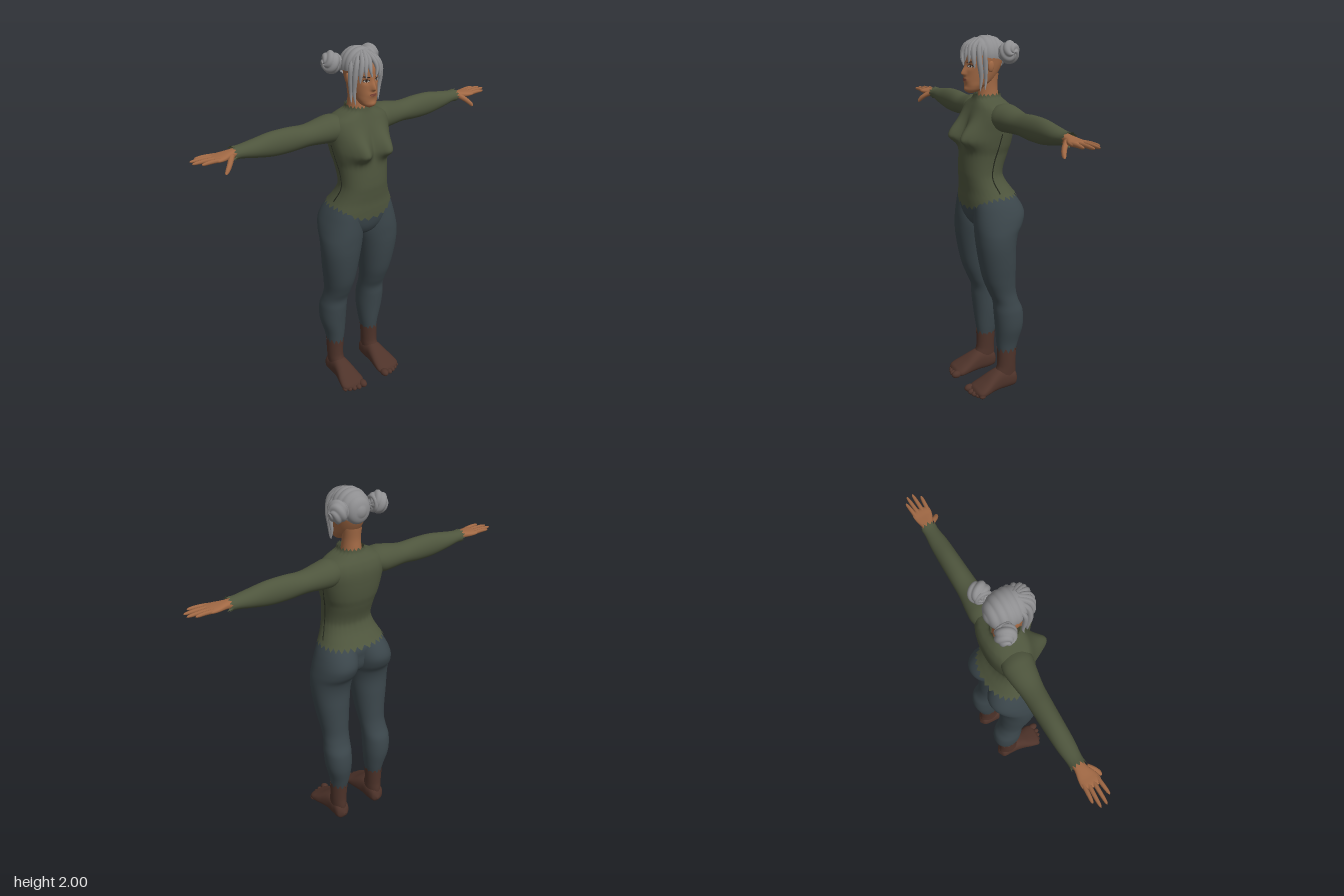
import * as THREE from 'three';

const mat = (name, color, side = THREE.FrontSide) => {
  const m = new THREE.MeshStandardMaterial({ color, side });
  m.name = name;
  return m;
};
const TAU = Math.PI * 2;
const zig = (a, n) => Math.abs(((a / TAU * n) % 1) * 2 - 1);
const gauss = (d, s) => Math.exp(-(d * d) / (s * s));
const spow = (v, n) => Math.sign(v) * Math.pow(Math.abs(v), 2 / n);
const sym = rows => rows.map(([y, w, zb, zf]) => [y, -w, w, zb, zf]);

// Smooth interpolation of profile rows keyed by their first value
function sample(rows, t) {
  let i = 0;
  while (i < rows.length - 2 && t > rows[i + 1][0]) i++;
  const a = rows[i], b = rows[i + 1], p = rows[Math.max(i - 1, 0)], q = rows[Math.min(i + 2, rows.length - 1)];
  const h = b[0] - a[0], s = (t - a[0]) / h, s2 = s * s, s3 = s2 * s;
  return a.slice(1).map((v, k) => {
    const j = k + 1;
    const ma = (b[j] - p[j]) / (b[0] - p[0]) * h, mb = (q[j] - a[j]) / (q[0] - a[0]) * h;
    return (2 * s3 - 3 * s2 + 1) * v + (s3 - 2 * s2 + s) * ma + (3 * s2 - 2 * s3) * b[j] + (s3 - s2) * mb;
  });
}

// Closed-around grid surface from fn(angle, v)
function surface(fn, nu = 48, nv = 48) {
  const pos = [], idx = [];
  for (let i = 0; i <= nv; i++) for (let j = 0; j < nu; j++) pos.push(...fn(j / nu * TAU, i / nv).toArray());
  for (let i = 0; i < nv; i++) for (let j = 0; j < nu; j++) {
    const a = i * nu + j, b = i * nu + (j + 1) % nu;
    idx.push(a, a + nu, b, b, a + nu, b + nu);
  }
  const g = new THREE.BufferGeometry();
  g.setAttribute('position', new THREE.Float32BufferAttribute(pos, 3));
  g.setIndex(idx);
  g.computeVertexNormals();
  return g;
}

// Loft along an axis; rows hold [t, min, max, min, max] of the two cross axes
const ORDER = { x: ['z', 'y'], y: ['x', 'z'], z: ['y', 'x'] };
function loft(axis, rows, { n = 2, lo, hi, nu, nv, bump } = {}) {
  const [A, B] = ORDER[axis], t0 = rows[0][0], t1 = rows[rows.length - 1][0];
  return surface((a, v) => {
    const s = lo ? lo(a) : t0, e = hi ? hi(a) : t1, t = s + (e - s) * v;
    const [a0, a1, b0, b1] = sample(rows, t), p = new THREE.Vector3();
    p[axis] = t;
    p[A] = (a0 + a1) / 2 + (a1 - a0) / 2 * spow(Math.cos(a), n);
    p[B] = (b0 + b1) / 2 + (b1 - b0) / 2 * spow(Math.sin(a), n);
    if (bump) p.z += bump(p.x, p.y) * Math.min(1, Math.max(0, Math.sin(a) * 3));
    return p;
  }, nu, nv);
}

// Tapered tube for strands and fingers
const pointed = s => 0.08 + 0.92 * Math.pow(Math.sin(Math.PI * Math.min(1, 0.2 + 0.8 * s)), 0.7);
const blunt = s => Math.sqrt(1 - Math.pow(s, 8)) * (1 - 0.25 * s);
function strand(points, r, taper = pointed) {
  const curve = new THREE.CatmullRomCurve3(points.map(p => new THREE.Vector3(...p)));
  const g = new THREE.TubeGeometry(curve, 20, r, 8), P = g.attributes.position, v = new THREE.Vector3();
  for (let i = 0; i < P.count; i++) {
    const s = Math.floor(i / 9) / 20, c = curve.getPointAt(s);
    v.fromBufferAttribute(P, i).sub(c).multiplyScalar(taper(s)).add(c);
    P.setXYZ(i, v.x, v.y, v.z);
  }
  return g;
}
function ellipsoid(x, y, z, rx, ry, rz) {
  return new THREE.SphereGeometry(1, 20, 14).scale(rx, ry, rz).translate(x, y, z);
}
function mirrored(geo) {
  const g = geo.clone().scale(-1, 1, 1), ix = g.index.array;
  for (let i = 0; i < ix.length; i += 3) [ix[i], ix[i + 1]] = [ix[i + 1], ix[i]];
  return g;
}

export function createModel() {
  const skin = mat('skin', 0xa06844), hair = mat('grey hair', 0x8e8e90, THREE.DoubleSide);
  const shirt = mat('olive shirt', 0x4e553d, THREE.DoubleSide), trousers = mat('slate trousers', 0x3b464b, THREE.DoubleSide);
  const sock = mat('brown foot', 0x4e332a, THREE.DoubleSide), seam = mat('dark seam', 0x25291e);
  const lip = mat('lips', 0x7d4437), white = mat('eye white', 0xb8b0a8), dark = mat('dark brown', 0x2c211c);
  const model = new THREE.Group();
  const add = (name, geo, m) => {
    const mesh = new THREE.Mesh(geo, m);
    mesh.name = name;
    model.add(mesh);
  };
  const pair = (name, geo, m) => {
    add('left ' + name, geo, m);
    add('right ' + name, mirrored(geo), m);
  };

  // Shirt body with torn hem and collar
  const torso = sym([[1.06, .222, -.165, .115], [1.15, .195, -.17, .12], [1.2, .168, -.135, .121], [1.25, .146, -.1, .126],
    [1.3, .135, -.085, .13], [1.4, .142, -.115, .125], [1.45, .155, -.13, .118], [1.53, .17, -.14, .1], [1.6, .178, -.14, .085],
    [1.645, .16, -.125, .07], [1.67, .11, -.105, .06], [1.685, .072, -.092, .055], [1.715, .062, -.086, .05]]);
  const bust = (x, y) => {
    const dy = y - 1.49;
    return .073 * gauss(Math.abs(x) - .075, .055) * gauss(dy, dy > 0 ? .085 : .045);
  };
  add('shirt body', loft('y', torso, {
    n: 2.3, nu: 120, nv: 80, bump: bust,
    lo: a => 1.185 - .07 * Math.pow(Math.max(0, Math.sin(a)), 3) - .02 * zig(a, 30),
    hi: a => 1.698 + .014 * zig(a, 20)
  }), shirt);
  pair('side seam', strand([1.2, 1.28, 1.36, 1.44, 1.52].map(y => {
    const [, x, b, f] = sample(torso, y);
    return [x, y, (b + f) / 2];
  }), .003, () => 1), seam);

  // Sleeves with torn cuffs
  pair('sleeve', loft('x', [[.08, -.1, .03, 1.56, 1.65], [.15, -.12, .04, 1.53, 1.672], [.2, -.118, .03, 1.53, 1.667],
    [.3, -.105, .012, 1.537, 1.65], [.4, -.102, .005, 1.53, 1.656], [.5, -.1, 0, 1.532, 1.655], [.6, -.097, -.005, 1.55, 1.64],
    [.68, -.09, -.015, 1.566, 1.63], [.72, -.093, -.011, 1.562, 1.635]], { hi: a => .698 + .018 * zig(a, 12) }), shirt);

  // Hands
  pair('palm', loft('x', [[.66, -.08, -.025, 1.575, 1.622], [.72, -.08, -.02, 1.582, 1.618], [.77, -.09, 0, 1.584, 1.613],
    [.81, -.09, .003, 1.589, 1.611], [.825, -.07, -.02, 1.597, 1.603]], { n: 2.5 }), skin);
  [[.885, -.088, -.078], [.918, -.066, -.057], [.92, -.035, -.033], [.888, -.001, -.009]].forEach(([x, z, z0], i) =>
    pair('finger ' + (i + 1), strand([[.79, 1.6, z0], [.84, 1.604, (z + z0) / 2], [x, 1.603, z]], .0115, blunt), skin));
  pair('thumb', strand([[.725, 1.597, -.025], [.752, 1.575, .005], [.772, 1.555, .02], [.788, 1.537, .027]], .015, blunt), skin);

  // Trousers
  pair('trouser leg', loft('y', [[.235, .08, .17, -.133, -.028], [.3, .07, .18, -.15, -.02], [.4, .06, .205, -.17, -.01],
    [.5, .057, .21, -.165, 0], [.56, .055, .203, -.14, .004], [.62, .05, .2, -.125, .03], [.7, .04, .21, -.12, .062],
    [.8, .028, .225, -.117, .085], [.9, .015, .235, -.115, .1], [.97, .003, .235, -.13, .105], [1.02, -.002, .228, -.162, .107],
    [1.08, -.002, .213, -.177, .105], [1.15, 0, .185, -.145, .1], [1.2, 0, .15, -.095, .088], [1.22, .04, .1, -.05, .04]],
    { n: 2.15, nv: 80 }), trousers);
  add('trouser seat', loft('y', sym([[.965, .002, -.03, -.02], [.985, .05, -.08, .05], [1.03, .13, -.115, .092],
    [1.1, .19, -.125, .112], [1.15, .18, -.125, .112], [1.21, .14, -.09, .1]]), { n: 2.2 }), trousers);

  // Feet
  pair('ankle', loft('y', [[.05, .088, .168, -.135, -.01], [.1, .084, .17, -.138, -.008], [.15, .083, .172, -.135, -.023],
    [.27, .076, .175, -.142, -.022]], { hi: a => .238 + .03 * zig(a, 12) }), sock);
  pair('foot', loft('z', [[-.148, .035, .05, .115, .13], [-.13, .008, .1, .09, .165], [-.08, 0, .125, .08, .172],
    [-.03, 0, .13, .078, .175], [.02, 0, .11, .07, .185], [.07, 0, .08, .062, .2], [.11, .002, .058, .06, .204],
    [.132, .01, .045, .075, .185], [.14, .025, .03, .1, .15]], { n: 2.4 }), sock);
  [[.083, .139, .022], [.117, .142, .016], [.145, .135, .015], [.17, .124, .014], [.192, .11, .014]].forEach(([x, z, r], i) =>
    pair('toe ' + (i + 1), ellipsoid(x, r + .004, z, r, r, r * 1.4), sock));

  // Head and neck
  const headRows = sym([[1.713, .008, .07, .085], [1.725, .034, .03, .103], [1.75, .05, 0, .107], [1.78, .059, -.05, .109],
    [1.82, .067, -.08, .107], [1.87, .072, -.1, .106], [1.92, .071, -.1, .098], [1.96, .052, -.065, .065], [1.982, .004, -.01, .0]]);
  const features = (x, y) => .024 * gauss(x, .012) * gauss(y - 1.815, y > 1.815 ? .03 : .011) +
    .006 * gauss(x, .022) * gauss(y - 1.785, .014) + .006 * gauss(x, .02) * gauss(y - 1.735, .014) -
    .009 * gauss(Math.abs(x) - .031, .016) * gauss(y - 1.853, .014);
  add('head', loft('y', headRows, { n: 2.2, nu: 96, nv: 90, bump: features }), skin);
  add('neck', loft('y', sym([[1.65, .06, -.085, .04], [1.7, .05, -.08, .03], [1.75, .047, -.075, .022], [1.81, .05, -.08, .01]])), skin);
  pair('ear', ellipsoid(.074, 1.85, -.002, .009, .028, .017).rotateX(-.1).translate(0, .01, .185), skin);

  // Thin plates following the face
  const plate = (cx, cy, rx, ry, lift, tilt = 0) => {
    const g = new THREE.CircleGeometry(1, 20).scale(rx, ry, 1).rotateZ(tilt).translate(cx, cy, 0), P = g.attributes.position;
    for (let i = 0; i < P.count; i++) {
      const x = P.getX(i), y = P.getY(i), [, w, b, f] = sample(headRows, y);
      const k = Math.pow(Math.max(0, 1 - Math.pow(Math.abs(x / w), 2.2)), 1 / 2.2);
      P.setZ(i, (b + f) / 2 + (f - b) / 2 * k + features(x, y) + lift);
    }
    g.computeVertexNormals();
    return g;
  };
  pair('eyelid line', plate(.031, 1.854, .0155, .0075, .0015), dark);
  pair('eye', plate(.031, 1.853, .0135, .0055, .0025), white);
  pair('iris', plate(.031, 1.853, .005, .005, .0035), dark);
  pair('eyebrow', plate(.033, 1.874, .018, .003, .002, .12), dark);
  add('mouth', plate(0, 1.784, .021, .007, .0015), lip);

  // Swept hair cap with ridges running sideways
  add('hair cap', surface((a, v) => {
    const s = Math.sin(a), c = Math.cos(a);
    const max = s > 0 ? 1.7 - .65 * s * s : 1.7 + .75 * s * s;
    const th = max * (1 - v) + .0001, z = Math.sin(th) * s;
    const r = 1 + .045 * (Math.abs(Math.sin(z * 10)) - .6);
    return new THREE.Vector3(.09 * r * Math.sin(th) * c, 1.905 + .094 * r * Math.cos(th), -.01 + .114 * r * z);
  }, 96, 60), hair);

  // Side buns built of coiled ridges
  pair('hair bun', surface((a, v) => {
    const th = Math.PI * (1 - v), r = 1 + .14 * (Math.abs(Math.sin(a * 2 + th * 3)) - .6);
    return new THREE.Vector3(.118 + .046 * r * Math.cos(th), 1.922 + .056 * r * Math.sin(th) * Math.cos(a),
      -.082 + .052 * r * Math.sin(th) * Math.sin(a));
  }, 72, 36), hair);
  pair('bun tie', new THREE.TorusGeometry(.034, .011, 8, 24).rotateY(Math.PI / 2).translate(.086, 1.92, -.078), hair);

  // Fringe and long face strands
  [[[[.004, 1.985, .04], [.012, 1.955, .092], [.02, 1.915, .112], [.012, 1.872, .117]], .012],
    [[[.008, 1.985, .04], [.03, 1.95, .09], [.042, 1.91, .104], [.04, 1.87, .107]], .014],
    [[[.015, 1.982, .03], [.045, 1.945, .08], [.06, 1.9, .09], [.062, 1.845, .085]], .016],
    [[[.02, 1.98, .02], [.062, 1.94, .06], [.077, 1.88, .065], [.076, 1.8, .055], [.07, 1.73, .058]], .015],
    [[[.04, 1.965, .01], [.08, 1.92, .035], [.084, 1.85, .035], [.078, 1.78, .03], [.08, 1.735, .036]], .013]
  ].forEach(([pts, r], i) => pair('hair strand ' + (i + 1), strand(pts, r), hair));

  return model;
}
